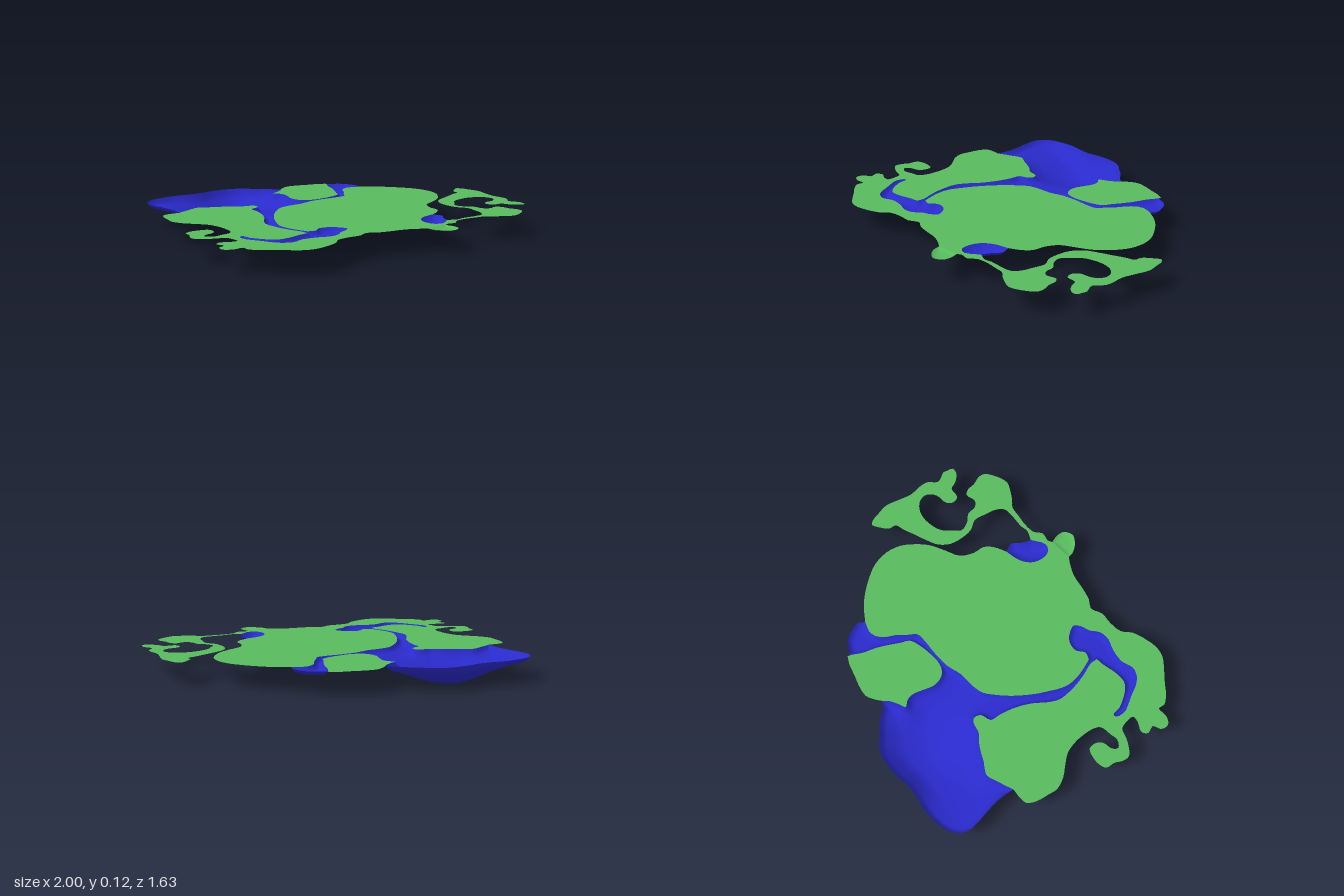
import * as THREE from 'three';

const RIM = 0.125; // height of the flat land
const landMaterial = new THREE.MeshStandardMaterial({ color: 0x58bb5e, side: THREE.DoubleSide });
const waterMaterial = new THREE.MeshStandardMaterial({ color: 0x2a2acc, side: THREE.DoubleSide });

// Smooth coast line through x, z pairs
function coast(...n) {
  const pts = [];
  for (let i = 0; i < n.length; i += 2) pts.push(new THREE.Vector3(n[i], 0, n[i + 1]));
  return new THREE.CatmullRomCurve3(pts).getPoints((pts.length - 1) * 3)
    .map(p => new THREE.Vector2(p.x, p.z));
}

// Join coasts end to end into one closed loop, without repeated points
function join(...coasts) {
  const pts = coasts.flat();
  return pts.filter((p, i) => p.distanceTo(pts[(i + 1) % pts.length]) > 1e-4);
}

// Flat sheet of land inside a loop
function sheet(name, loop) {
  const shape = new THREE.Shape(loop.map(p => new THREE.Vector2(p.x, -p.y)));
  const geometry = new THREE.ShapeGeometry(shape).rotateX(-Math.PI / 2).translate(0, RIM, 0);
  const mesh = new THREE.Mesh(geometry, landMaterial);
  mesh.name = name;
  return mesh;
}

// Inside test, nearest edge point and distance to the loop
function locate(loop, x, z) {
  let inside = false, best = Infinity, nx = x, nz = z;
  for (let i = 0, j = loop.length - 1; i < loop.length; j = i++) {
    const a = loop[j], b = loop[i], ex = b.x - a.x, ez = b.y - a.y;
    if ((a.y > z) !== (b.y > z) && x < a.x + ex * (z - a.y) / ez) inside = !inside;
    const t = THREE.MathUtils.clamp(((x - a.x) * ex + (z - a.y) * ez) / (ex * ex + ez * ez), 0, 1);
    const px = a.x + t * ex, pz = a.y + t * ez, d = Math.hypot(x - px, z - pz);
    if (d < best) { best = d; nx = px; nz = pz; }
  }
  return { inside, d: best, nx, nz };
}

// Sunken bed inside a loop: a grid snapped to the shore, lowered by depth(distance, x, z)
function basin(name, loop, step, depth, material) {
  const box = new THREE.Box2().setFromPoints(loop);
  const nx = Math.ceil((box.max.x - box.min.x) / step) + 2;
  const nz = Math.ceil((box.max.y - box.min.y) / step) + 2;
  const grid = [], position = [], index = [];
  for (let j = 0; j <= nz; j++) for (let i = 0; i <= nx; i++) {
    const x = box.min.x + (i - 0.5) * step, z = box.min.y + (j - 0.5) * step;
    const g = locate(loop, x, z);
    grid.push(g.inside);
    if (g.inside) position.push(x, RIM - depth(g.d, x, z), z);
    else position.push(g.nx, RIM, g.nz);
  }
  for (let j = 0; j < nz; j++) for (let i = 0; i < nx; i++) {
    const a = j * (nx + 1) + i, b = a + 1, c = a + nx + 1, d = c + 1;
    if (grid[a] || grid[b] || grid[c] || grid[d]) index.push(a, c, b, b, c, d);
  }
  const geometry = new THREE.BufferGeometry();
  geometry.setAttribute('position', new THREE.Float32BufferAttribute(position, 3));
  geometry.setIndex(index);
  geometry.computeVertexNormals();
  const mesh = new THREE.Mesh(geometry, material);
  mesh.name = name;
  return mesh;
}

const bank = (d, width) => 1 - (1 - Math.min(d / width, 1)) ** 2;

export function createModel() {
  const group = new THREE.Group();
  group.name = 'islandMap';

  // Back edge of the lake
  const lakeBack = coast(-.76, -.37, -.755, -.45, -.765, -.53, -.785, -.625, -.79, -.69, -.77, -.74,
    -.72, -.78, -.65, -.80, -.57, -.81, -.48, -.80, -.40, -.80, -.33, -.815, -.26, -.82, -.19, -.815,
    -.13, -.79, -.08, -.75, -.02, -.705, .02, -.66, .06, -.63);
  // Islet: shore on the lake and river, then its outer shore
  const isletInner = coast(.06, -.63, .035, -.60, -.01, -.57, -.045, -.55, -.02, -.52, -.01, -.48,
    -.025, -.415, -.04, -.36, -.03, -.305, 0, -.27, .06, -.255, .14, -.265, .20, -.28, .25, -.305,
    .27, -.35, .30, -.41, .33, -.48, .35, -.55, .375, -.60, .385, -.63);
  const isletOuter = coast(.385, -.63, .34, -.65, .27, -.665, .21, -.68, .14, -.685, .095, -.66, .06, -.63);
  // River mouth, then the river's main bank down to the bent pond
  const mouth = coast(.385, -.61, .44, -.59, .475, -.56, .495, -.52, .51, -.475, .49, -.435);
  const mainBank = coast(.49, -.435, .43, -.45, .39, -.44, .35, -.40, .325, -.35, .285, -.295,
    .255, -.25, .20, -.24, .11, -.24, .01, -.23, -.08, -.20, -.17, -.19, -.235, -.17, -.29, -.12,
    -.335, -.07, -.375, -.015, -.42, .06, -.45, .125, -.47, .17, -.485, .225, -.48, .295,
    -.46, .36, -.44, .41);
  const bentPond = coast(-.44, .41, -.395, .42, -.355, .385, -.295, .39, -.255, .425, -.235, .47,
    -.265, .50, -.31, .52, -.355, .56, -.41, .57, -.48, .55, -.56, .545, -.625, .57, -.675, .555,
    -.71, .52, -.74, .465, -.77, .415, -.79, .375, -.785, .32, -.765, .315, -.755, .365, -.73, .41,
    -.695, .455, -.655, .48, -.585, .475, -.52, .455, -.465, .445);
  const westBank = coast(-.465, .445, -.465, .40, -.49, .335, -.51, .265, -.52, .20, -.52, .135,
    -.49, .07, -.45, .01, -.42, -.055, -.40, -.12, -.39, -.175, -.385, -.23, -.33, -.255, -.32, -.295,
    -.345, -.315, -.40, -.325, -.45, -.36, -.50, -.385, -.54, -.40, -.575, -.42, -.615, -.435,
    -.675, -.41, -.72, -.39, -.76, -.37);

  // Outer coast of the mainland, from the west round to the east
  const west = coast(-.76, -.37, -.825, -.37, -.86, -.36, -.885, -.31, -.895, -.24, -.90, -.185,
    -.87, -.12, -.825, -.07, -.78, -.015, -.76, .05, -.755, .105, -.76, .175, -.78, .215, -.84, .23,
    -.885, .24, -.925, .215, -.905, .185, -.855, .17, -.83, .135, -.835, .09, -.88, .075, -.93, .075,
    -.97, .095, -.975, .145, -.995, .19, -.995, .23, -.96, .26, -.905, .285, -.855, .30, -.84, .345,
    -.84, .39, -.88, .39, -.93, .37, -.96, .395, -.945, .44, -.985, .465, -.99, .51, -.945, .535,
    -.89, .53, -.89, .57, -.85, .615, -.80, .65, -.735, .70, -.675, .74, -.61, .75, -.53, .73);
  const south = coast(-.53, .73, -.465, .70, -.42, .655, -.345, .64, -.275, .64, -.215, .61,
    -.165, .635, -.09, .65, -.005, .66, .06, .685, .105, .71);
  const tip = coast(.105, .71, .115, .75, .155, .795, .20, .815, .245, .785, .25, .74, .235, .695);
  // Hooked peninsula joined by a thin strip
  const hookOuter = coast(.235, .695, .26, .68, .31, .685, .35, .65, .42, .64, .485, .645, .545, .65,
    .58, .675, .635, .705, .69, .725, .75, .705, .815, .655, .82, .615, .80, .565, .795, .52,
    .77, .49, .715, .505, .68, .48, .67, .425, .63, .385, .61, .33, .64, .29, .68, .24, .735, .215,
    .805, .205, .865, .22, .905, .255, .915, .30, .895, .335, .86, .355, .805, .365, .78, .40,
    .795, .44, .855, .445, .875, .485, .915, .525, .955, .53, .97, .47);
  const hookInner = coast(.97, .47, .94, .41, .975, .36, .98, .315, .97, .24, .985, .16, 1, .08,
    .985, .015, .97, -.035, .95, -.055, .91, -.03, .87, .01, .865, .05, .815, .07, .755, .10,
    .68, .135, .62, .17, .58, .23, .57, .305, .58, .375, .615, .43, .605, .505, .595, .56,
    .565, .605, .51, .615, .42, .615, .38, .625, .32, .605);
  const smallPondBank = coast(.32, .605, .25, .655, .205, .64, .19, .585, .21, .52, .265, .475, .35, .45);
  const smallPondOpen = coast(.35, .45, .37, .505, .34, .55, .32, .605);
  const east = coast(.35, .45, .415, .41, .45, .365, .455, .30, .49, .225, .565, .18, .645, .13,
    .70, .07, .745, -.005, .76, -.09, .74, -.185, .69, -.265, .62, -.345, .565, -.39, .49, -.435);

  // Land
  group.add(sheet('mainland', join(west, south, hookOuter, hookInner, smallPondBank, east,
    mainBank, bentPond, westBank)));
  group.add(sheet('islet', join(isletInner, isletOuter)));
  group.add(basin('southTip', join(tip), 0.01, d => 0.009 * bank(d, 0.03), landMaterial));

  // Water: shallow river everywhere, with one deep bowl under the lake
  const riverDepth = (d, x, z) => {
    const bowl = Math.exp(-(((x + .33) / .27) ** 2) - ((z + .62) / .24) ** 2);
    return 0.024 * bank(d, 0.03) + 0.101 * bank(d, 0.12) * bowl;
  };
  group.add(basin('lakeAndRiver', join(lakeBack, isletInner, mouth, mainBank, bentPond, westBank),
    0.0115, riverDepth, waterMaterial));
  group.add(basin('smallPond', join(smallPondBank, smallPondOpen), 0.01,
    d => 0.035 * bank(d, 0.06), waterMaterial));
  return group;
}
